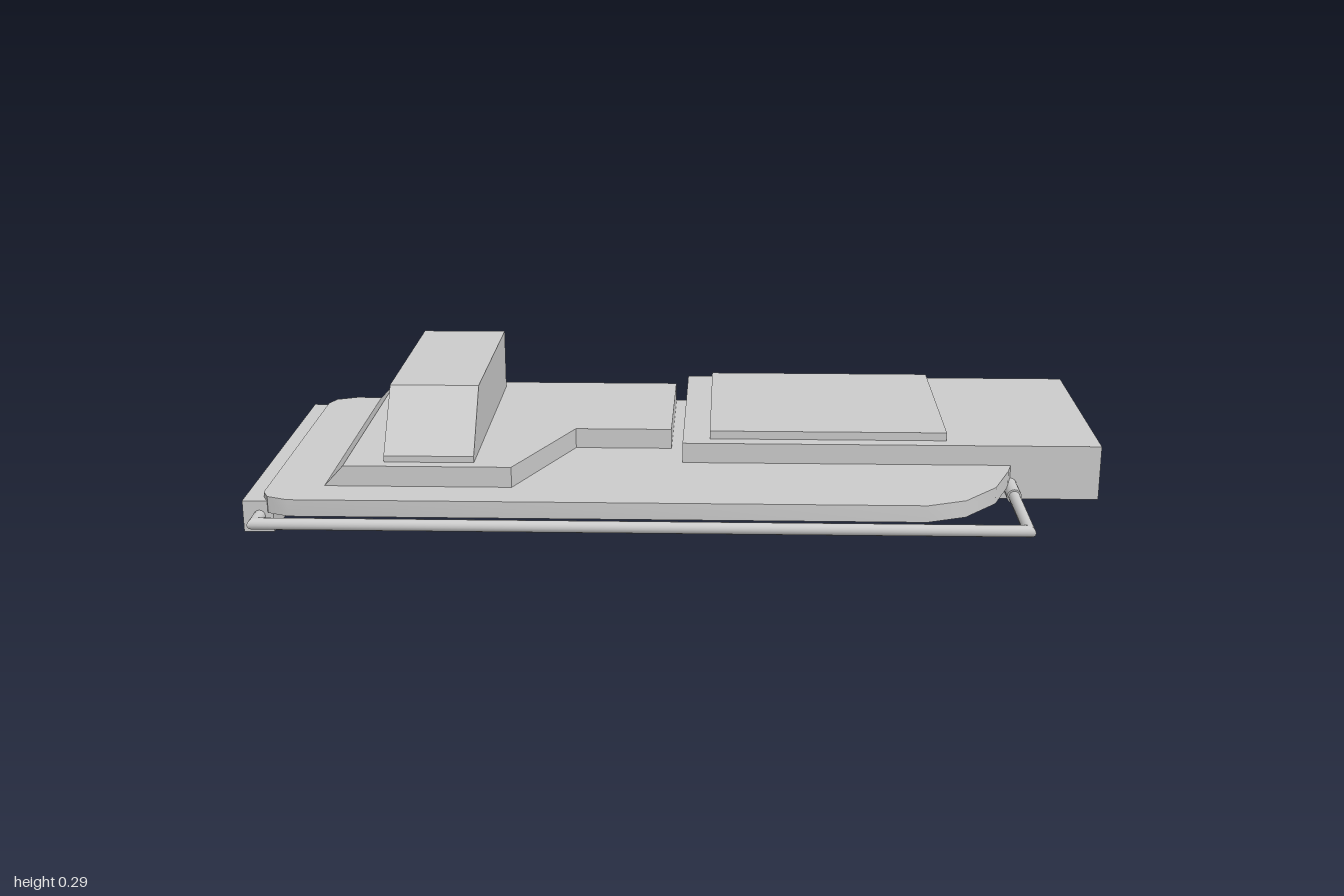
import * as THREE from 'three';
import { toCreasedNormals } from 'three/addons/utils/BufferGeometryUtils.js';

export function createModel() {
  const model = new THREE.Group();
  const mat = new THREE.MeshStandardMaterial({ color: 0xcccccc });
  const openMat = new THREE.MeshStandardMaterial({ color: 0xcccccc, side: THREE.DoubleSide });

  const add = (name, geometry, material = mat) => {
    const mesh = new THREE.Mesh(geometry, material);
    mesh.name = name;
    model.add(mesh);
    return mesh;
  };

  // box given by its extents on each axis
  const box = (name, [x0, x1], [y0, y1], [z0, z1]) =>
    add(name, new THREE.BoxGeometry(x1 - x0, y1 - y0, z1 - z0)
      .translate((x0 + x1) / 2, (y0 + y1) / 2, (z0 + z1) / 2));

  const shapeOf = pts => new THREE.Shape(pts.map(([a, b]) => new THREE.Vector2(a, b)));

  // horizontal slab from an (x, z) outline
  const slab = (pts, y0, y1) =>
    new THREE.ExtrudeGeometry(shapeOf(pts.map(([x, z]) => [x, -z])), { depth: y1 - y0, bevelEnabled: false })
      .rotateX(-Math.PI / 2).translate(0, y0, 0);

  // base plate with rounded corners
  const plate = slab([
    [-0.955, -0.33], [-0.955, 0.355], [-0.94, 0.385], [-0.89, 0.405],
    [0.56, 0.405], [0.65, 0.37], [0.73, 0.28], [0.775, 0.165], [0.79, 0.11],
    [0.79, -0.385], [-0.89, -0.385], [-0.94, -0.365],
  ], 0.048, 0.088);
  add('basePlate', toCreasedNormals(plate, 0.65));

  // raised deck, its outer side sloping inwards
  const deck = slab([
    [-0.825, -0.375], [-0.825, 0.31], [-0.39, 0.31],
    [-0.265, 0.02], [-0.03, 0.02], [-0.03, -0.375],
  ], 0.088, 0.137);
  const dp = deck.attributes.position;
  for (let i = 0; i < dp.count; i++) {
    if (dp.getX(i) < -0.82 && dp.getY(i) > 0.12) dp.setX(i, -0.78);
  }
  deck.computeVertexNormals();
  add('raisedDeck', deck);

  // tall housing with a slanted front
  add('slantedHousing', new THREE.ExtrudeGeometry(
    shapeOf([[-0.335, 0.137], [0.28, 0.137], [0.28, 0.152], [0.16, 0.288], [-0.335, 0.288]]),
    { depth: 0.21, bevelEnabled: false },
  ).rotateY(-Math.PI / 2).translate(-0.48, 0, 0));

  // large block, its top pad and the end block
  box('mainBlock', [0, 1], [0.003, 0.137], [-0.445, 0.125]);
  box('topPad', [0.065, 0.635], [0.137, 0.157], [-0.41, 0.09]);
  box('endBlock', [-1, -0.93], [0, 0.075], [-0.36, 0.38]);

  // front guard rail with mitred corners
  const r = 0.0135, railY = 0.039, railZ = 0.43, leftX = -0.962, rightX = 0.785;
  const midX = (leftX + rightX) / 2;
  const front = new THREE.CylinderGeometry(r, r, rightX - leftX, 16, 1, true)
    .rotateZ(Math.PI / 2).translate(midX, railY, railZ);
  const fp = front.attributes.position;
  for (let i = 0; i < fp.count; i++) {
    fp.setX(i, fp.getX(i) + Math.sign(fp.getX(i) - midX) * (fp.getZ(i) - railZ));
  }
  add('frontRail', front, openMat);

  const sideRail = (name, x, zBack, side) => {
    const g = new THREE.CylinderGeometry(r, r, railZ - zBack, 16, 1, true)
      .rotateX(Math.PI / 2).translate(x, railY, (railZ + zBack) / 2);
    const p = g.attributes.position;
    for (let i = 0; i < p.count; i++) {
      if (p.getZ(i) > railZ - 0.001) p.setZ(i, railZ + side * (p.getX(i) - x));
    }
    add(name, g, openMat);
  };
  sideRail('leftSideRail', rightX, 0.12, 1);
  sideRail('rightSideRail', leftX, 0.37, -1);

  // sleeve where the rail meets the large block
  add('railSleeve', new THREE.CylinderGeometry(0.0175, 0.0175, 0.09, 16)
    .rotateX(Math.PI / 2).translate(rightX, railY, 0.163));

  return model;
}
